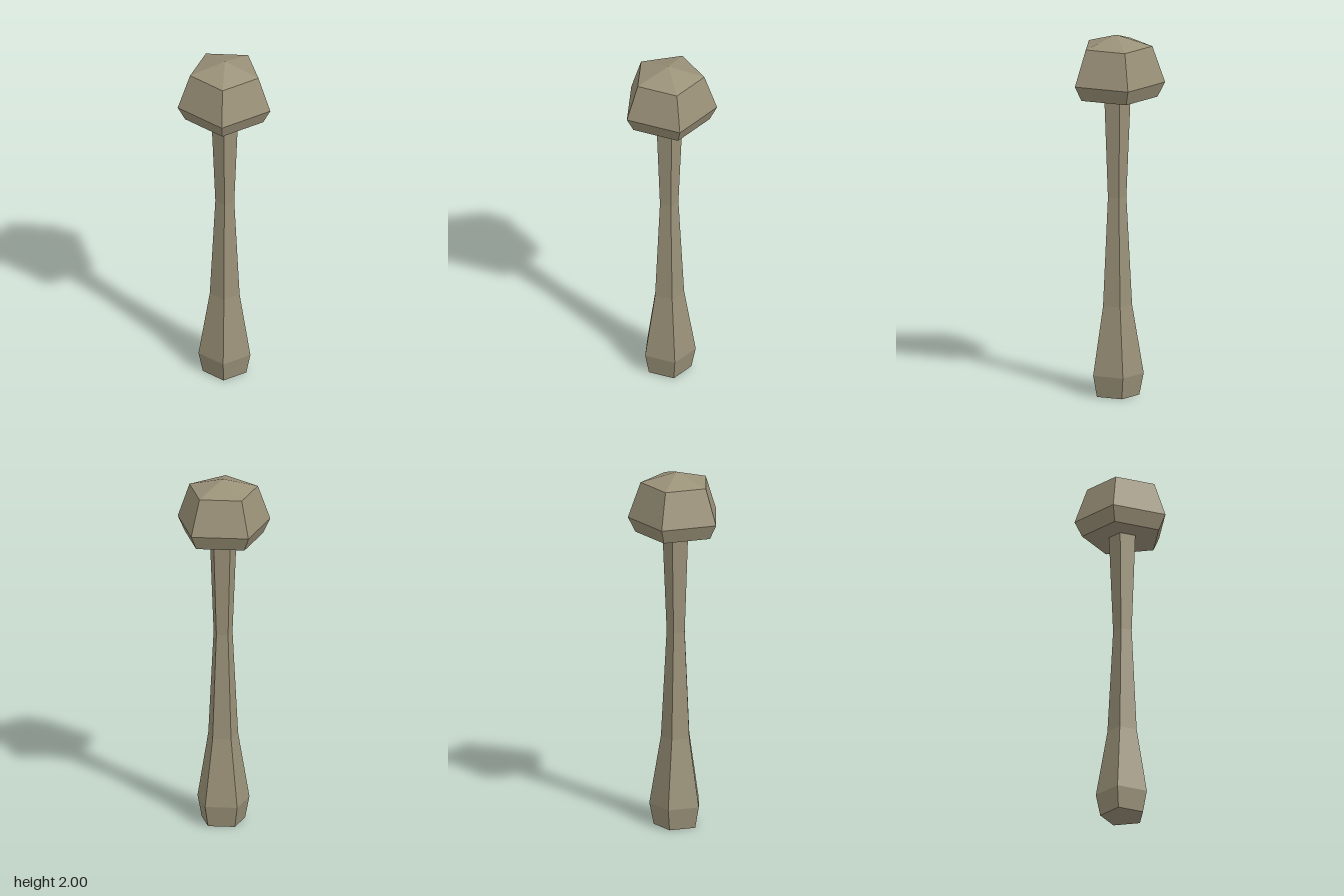
import * as THREE from 'three';

const SIDES = 5;
const TURN = THREE.MathUtils.degToRad(-10); // one corner sits just left of the front

// Five-sided faceted solid from [radius, height] rings, listed bottom to top
function facetedSolid(name, rings, material) {
  const profile = rings.map(([r, y]) => new THREE.Vector2(r, y));
  const mesh = new THREE.Mesh(new THREE.LatheGeometry(profile, SIDES, TURN), material);
  mesh.name = name;
  return mesh;
}

export function createModel() {
  const model = new THREE.Group();
  model.name = 'mushroom';

  const paleBrown = new THREE.MeshStandardMaterial({ color: 0x9a9178, flatShading: true });
  paleBrown.name = 'paleBrown';

  // Stem: swollen foot, narrow waist, slight flare under the cap
  model.add(facetedSolid('stem', [
    [0, 0], [0.124, 0], [0.148, 0.12], [0.085, 0.5], [0.054, 1.1], [0.077, 1.665],
  ], paleBrown));

  // Cap: flat underside, wide rim, sloping sides and a shallow peak
  model.add(facetedSolid('cap', [
    [0, 1.66], [0.223, 1.66], [0.264, 1.742], [0.195, 1.94], [0, 2],
  ], paleBrown));

  // A five-sided outline is lopsided, so shift the axis to centre the bounds
  model.position.set(0.0134, 0, -0.0128);

  const root = new THREE.Group();
  root.name = 'model';
  root.add(model);
  return root;
}
